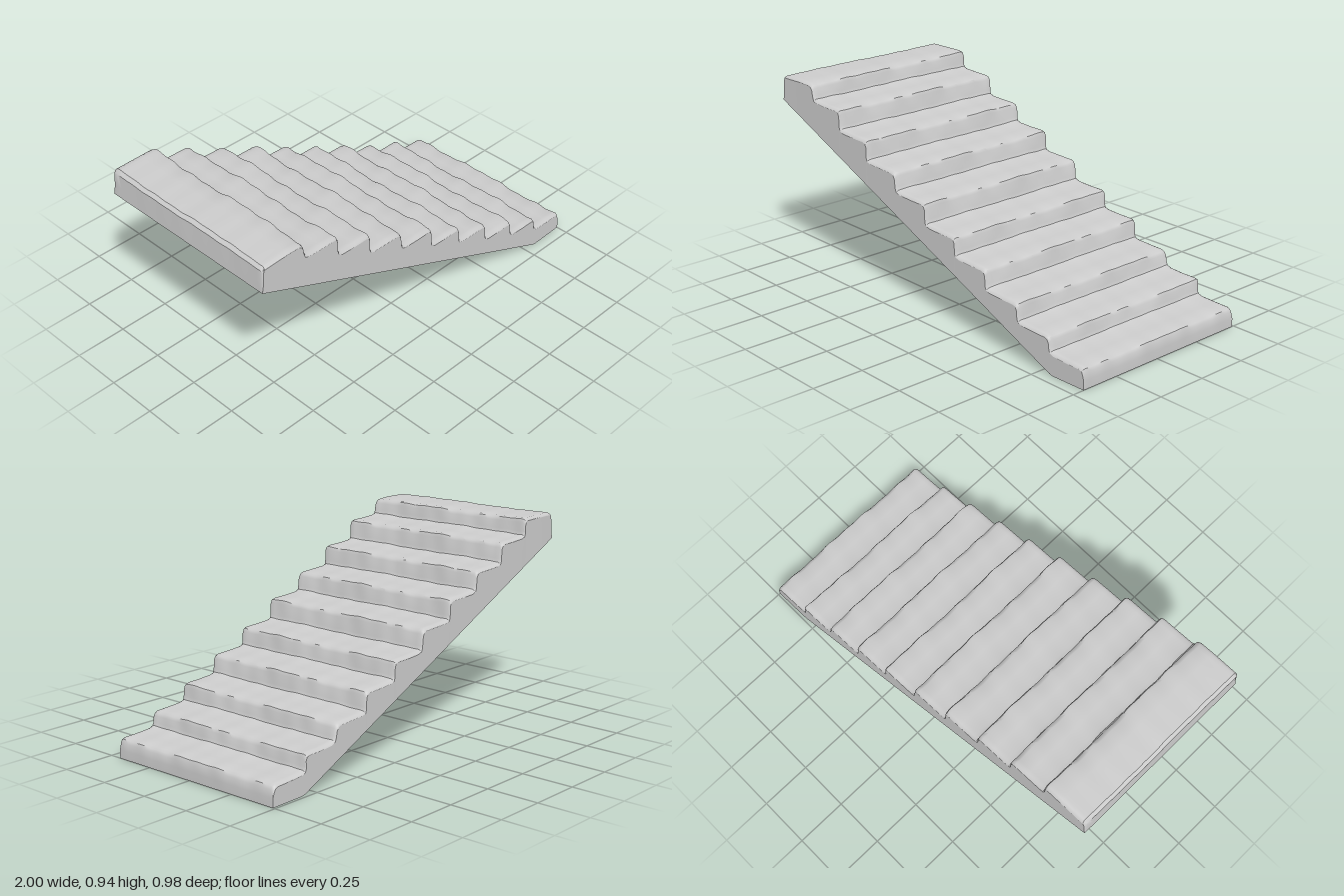
import * as THREE from 'three';
import { toCreasedNormals } from 'three/addons/utils/BufferGeometryUtils.js';

// Front edge (x) and nosing height (y) of each step, from the top down
const EDGES = [-0.765, -0.57, -0.375, -0.175, 0.025, 0.22, 0.415, 0.61, 0.8, 0.997];
const HEIGHTS = [0.93, 0.845, 0.743, 0.645, 0.547, 0.443, 0.352, 0.256, 0.17, 0.092];
const HALF = 0.466;

// Sloped underside that ends in a short flat foot
const underside = (x) => Math.max(0, 0.81 - (x + 1) * 0.4465);

// Smooth irregularity for worn stone
const worn = (z, k) =>
  0.5 * Math.sin(z * 11 + k * 2.3) + 0.3 * Math.sin(z * 27 + k * 4.1) + 0.3 * Math.sin(z * 53 + k * 1.7);

// Stepped profile: x, y, wear amount, step number
function stairProfile() {
  const pts = [[-1, 0.81, 0, 0], [-0.997, 0.86, 0.001, 0], [-0.993, 0.918, 0.002, 0], [-0.978, 0.933, 0.003, 0]];
  EDGES.forEach((x, i) => {
    const y = HEIGHTS[i];
    if (i > 0) {
      const back = EDGES[i - 1];
      pts.push([back + 0.003, y + 0.03, 0.003, i], [back + 0.009, y + 0.015, 0.004, i], [back + 0.03, y + 0.008, 0.003, i]);
    }
    pts.push([x - 0.09, y + 0.004, 0.002, i], [x - 0.022, y + 0.002, 0.004, i]);
    pts.push([x - 0.007, y - 0.004, 0.006, i], [x, y - 0.018, 0.004, i]);
  });
  pts.push([1, 0.04, 0.001, 9], [1, 0, 0, 9]);
  return pts;
}

function surface(positions, index) {
  const g = new THREE.BufferGeometry();
  g.setAttribute('position', new THREE.Float32BufferAttribute(positions, 3));
  g.setIndex(index);
  return toCreasedNormals(g, 0.7);
}

export function createModel() {
  const group = new THREE.Group();
  const material = new THREE.MeshStandardMaterial({ color: 0xcccccc, side: THREE.DoubleSide });
  const profile = stairProfile();
  const n = profile.length;

  // Stations across the width, tight at both ends for a rounded rim
  const zs = [-HALF, -HALF + 0.004, -HALF + 0.014];
  for (let i = 1; i < 48; i++) zs.push((HALF - 0.014) * (i / 24 - 1));
  zs.push(HALF - 0.014, HALF - 0.004, HALF);

  // The plan is slightly skewed: the width shifts along the run
  const point = ([x, y, wear, k], z) => {
    const edge = HALF - Math.abs(z);
    const free = y > underside(x) + 0.04;
    const drop = free ? 0.011 * Math.max(0, 1 - edge / 0.012) ** 2 : 0;
    const w = worn(z, k) * wear;
    const px = THREE.MathUtils.clamp(x + w * 0.8 - drop * 0.4 * Math.sign(x + 0.98), -1, 1);
    return [px, y + w - drop, z - 0.024 * x];
  };

  // Treads, risers and both end walls
  const shell = [], shellIndex = [];
  zs.forEach((z, j) => profile.forEach((p, i) => {
    shell.push(...point(p, z));
    if (j < zs.length - 1 && i < n - 1) {
      const a = j * n + i, b = a + n;
      shellIndex.push(a, b, a + 1, b, b + 1, a + 1);
    }
  }));
  const steps = new THREE.Mesh(surface(shell, shellIndex), material);
  steps.name = 'steps';
  group.add(steps);

  // Side walls down to the open underside
  for (const side of [1, -1]) {
    const wall = [], wallIndex = [];
    profile.forEach((p, i) => {
      const [x, y, z] = point(p, side * HALF);
      wall.push(x, underside(x), z, x, y, z);
      if (i === n - 1) return;
      const a = i * 2;
      if (side > 0) wallIndex.push(a, a + 2, a + 3, a, a + 3, a + 1);
      else wallIndex.push(a, a + 3, a + 2, a, a + 1, a + 3);
    });
    const mesh = new THREE.Mesh(surface(wall, wallIndex), material);
    mesh.name = side > 0 ? 'frontSideWall' : 'backSideWall';
    group.add(mesh);
  }
  return group;
}
